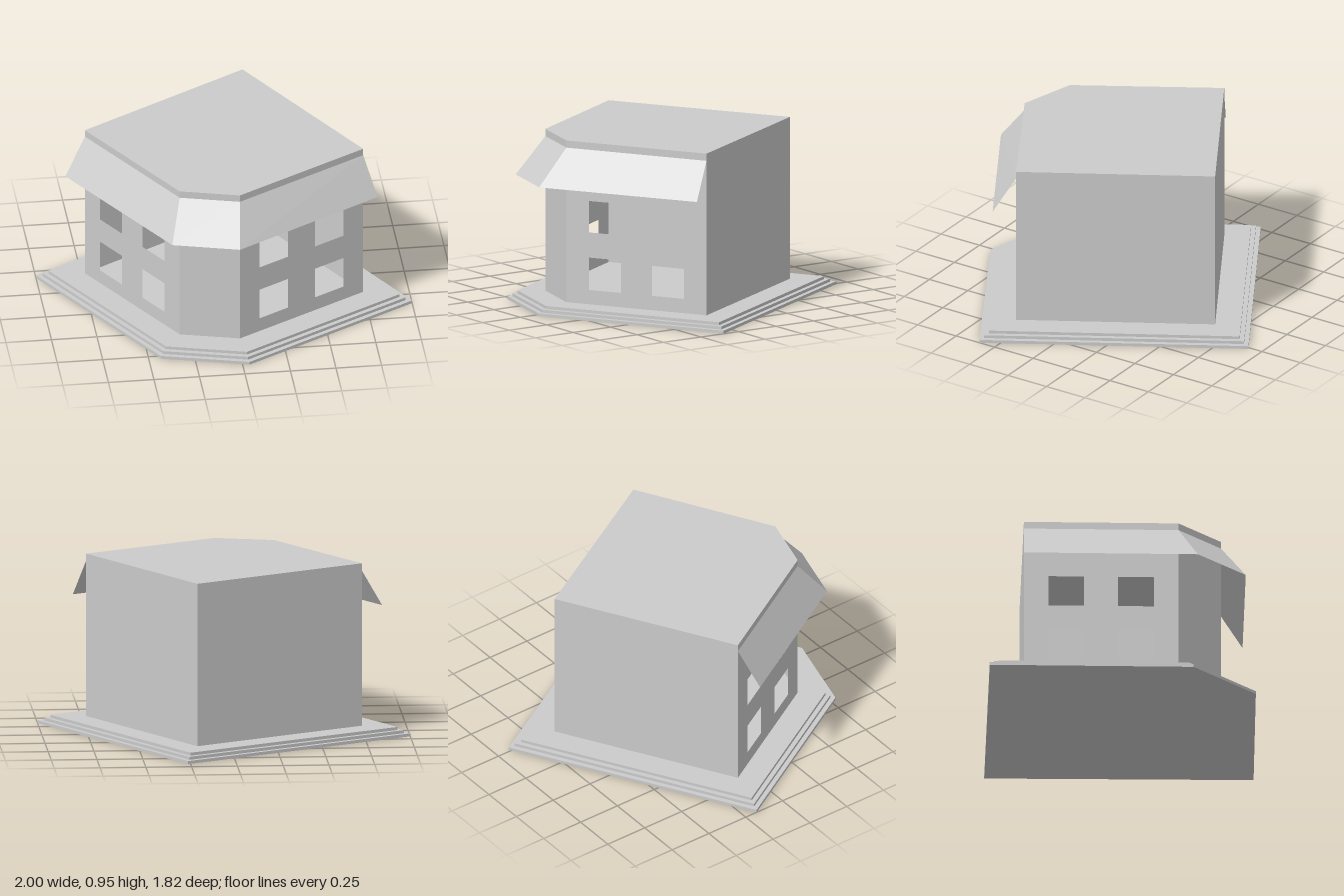
import * as THREE from 'three';

const material = new THREE.MeshStandardMaterial({ color: 0xcccccc, flatShading: true, side: THREE.DoubleSide });

// Footprint as [x, z], running left to right along the walls seen from outside
const footprint = [[-0.74, -0.11], [-0.31, 0.615], [0.01, 0.70], [0.74, 0.28], [0.195, -0.66]];
const eaves = [[-0.855, -0.045], [-0.37, 0.77], [-0.01, 0.867], [0.805, 0.39]];
const floorY = 0.05, topY = 0.95, roofTopY = 0.91, eaveY = 0.705;

// Grow a footprint outwards by an even margin
function offset(points, d) {
  const n = points.length;
  const normal = (i) => {
    const [ax, az] = points[i % n], [bx, bz] = points[(i + 1) % n];
    const len = Math.hypot(bx - ax, bz - az);
    return [-(bz - az) / len, (bx - ax) / len];
  };
  return points.map(([x, z], i) => {
    const a = normal(i + n - 1), b = normal(i);
    const k = d / (1 + a[0] * b[0] + a[1] * b[1]);
    return [x + k * (a[0] + b[0]), z + k * (a[1] + b[1])];
  });
}

const planShape = (points) => new THREE.Shape(points.map(([x, z]) => new THREE.Vector2(x, -z)));

function add(parent, name, geometry) {
  const mesh = new THREE.Mesh(geometry, material);
  mesh.name = name;
  parent.add(mesh);
  return mesh;
}

// Thin upright wall between two plan points, optionally with a 2 x 2 set of openings
function wallGeometry([ax, az], [bx, bz], windows) {
  const len = Math.hypot(bx - ax, bz - az);
  const rect = (Type, x0, x1, y0, y1) => new Type([[x0, y0], [x1, y0], [x1, y1], [x0, y1]]
    .map(([x, y]) => new THREE.Vector2(x, y)));
  const shape = rect(THREE.Shape, 0, len, floorY, topY);
  if (windows) {
    for (const [u0, u1] of [[0.16, 0.39], [0.61, 0.84]]) {
      for (const [y0, y1] of [[0.13, 0.31], [0.45, 0.625]]) {
        shape.holes.push(rect(THREE.Path, u0 * len, u1 * len, y0, y1));
      }
    }
  }
  return new THREE.ShapeGeometry(shape)
    .rotateY(Math.atan2(az - bz, bx - ax))
    .translate(ax, 0, az);
}

// Sloping awning panel from the wall line out to the eave line
function panelGeometry(i) {
  const [a, b, c, d] = [footprint[i], footprint[i + 1], eaves[i + 1], eaves[i]];
  const geometry = new THREE.BufferGeometry();
  geometry.setAttribute('position', new THREE.Float32BufferAttribute([
    d[0], eaveY, d[1], c[0], eaveY, c[1], b[0], roofTopY, b[1], a[0], roofTopY, a[1],
  ], 3));
  geometry.setIndex([0, 1, 2, 0, 2, 3]);
  geometry.computeVertexNormals();
  return geometry;
}

export function createModel() {
  const model = new THREE.Group();
  model.name = 'house';

  // Three stepped base slabs
  const step = floorY / 3;
  [0.19, 0.165, 0.14].forEach((margin, i) => {
    const slab = new THREE.ExtrudeGeometry(planShape(offset(footprint, margin)), { depth: step, bevelEnabled: false });
    add(model, 'baseStep', slab.rotateX(-Math.PI / 2).translate(0, i * step, 0));
  });

  // Hollow body: windows on the two long front walls
  const names = ['rightWall', 'cornerWall', 'leftWall', 'backLeftWall', 'backRightWall'];
  names.forEach((name, i) => {
    const next = footprint[(i + 1) % footprint.length];
    add(model, name, wallGeometry(footprint[i], next, i === 0 || i === 2));
  });

  // Flat roof
  add(model, 'flatRoof', new THREE.ShapeGeometry(planShape(footprint)).rotateX(-Math.PI / 2).translate(0, topY, 0));

  // Awning around the three front walls
  const awning = new THREE.Group();
  awning.name = 'awning';
  for (let i = 0; i < 3; i++) add(awning, 'awningPanel', panelGeometry(i));
  model.add(awning);

  return model;
}
